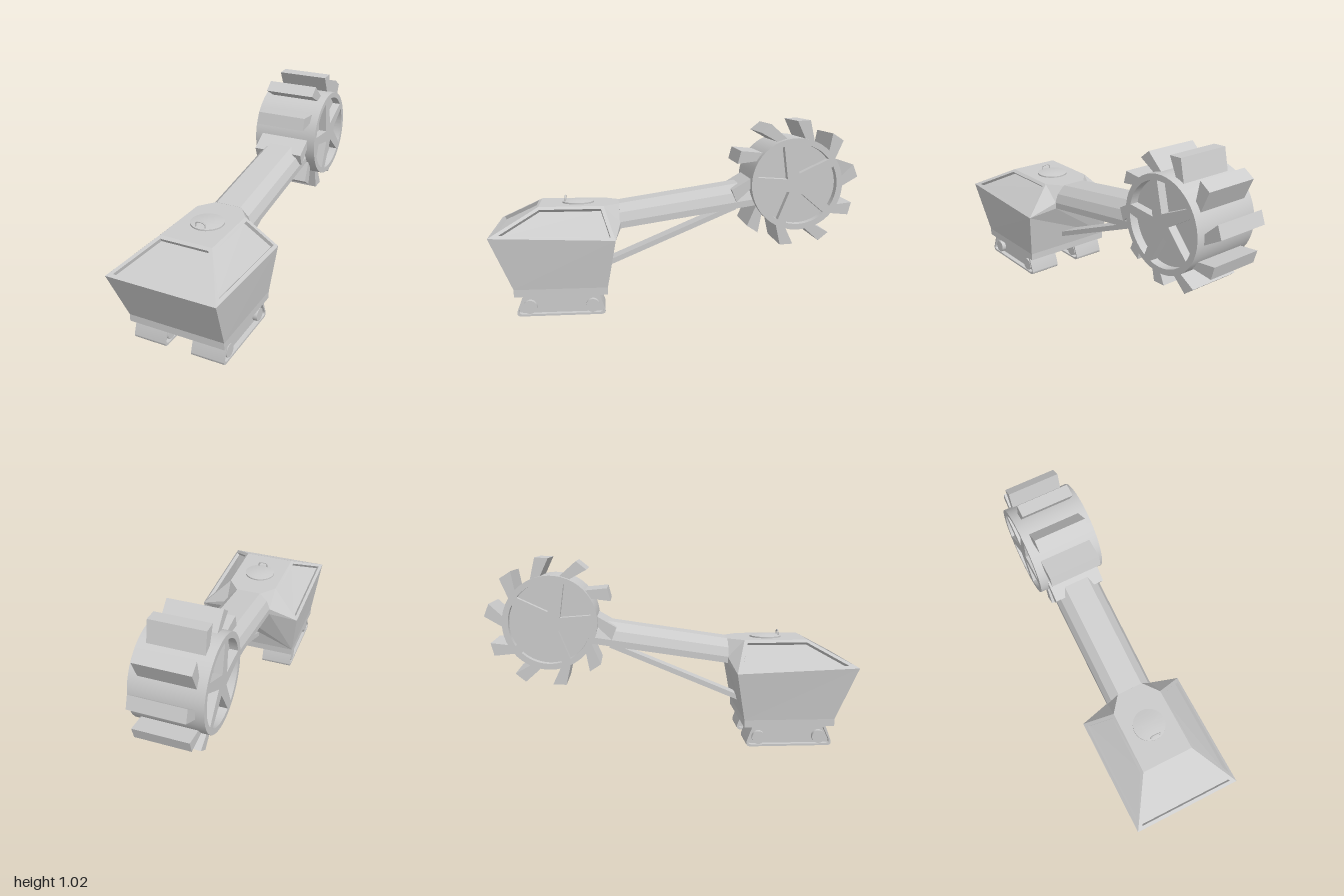
import * as THREE from 'three';
import { toCreasedNormals } from 'three/addons/utils/BufferGeometryUtils.js';

const V = (x, y, z) => new THREE.Vector3(x, y, z);
const grey = new THREE.MeshStandardMaterial({ color: 0xcccccc });
const flat = new THREE.MeshStandardMaterial({ color: 0xcccccc, flatShading: true, side: THREE.DoubleSide });
const HULL_CENTRE = V(0, 0.32, 0.6);

function add(parent, name, geometry, material = grey) {
  const mesh = new THREE.Mesh(geometry, material);
  mesh.name = name;
  parent.add(mesh);
  return mesh;
}

function extrude(shape, depth, curveSegments = 12) {
  const g = new THREE.ExtrudeGeometry(shape, { depth, bevelEnabled: false, curveSegments });
  g.translate(0, 0, -depth / 2);
  return toCreasedNormals(g, 0.5);
}

const polygon = (pts) => new THREE.Shape(pts.map(([x, y]) => new THREE.Vector2(x, y)));

function faceNormal(p) {
  const n = V(0, 0, 0);
  for (let i = 1; i < p.length - 1; i++) {
    n.add(p[i].clone().sub(p[0]).cross(p[i + 1].clone().sub(p[0])));
  }
  return n.normalize();
}

// Orders a face's corners so that it looks away from the hull's centre
function outward(p) {
  const mid = p.reduce((s, q) => s.add(q), V(0, 0, 0)).divideScalar(p.length);
  return faceNormal(p).dot(mid.sub(HULL_CENTRE)) < 0 ? p.slice().reverse() : p;
}

// Frame, sloped reveal and sunken pane for one sloped face
function recessed(face, width, depth) {
  const p = outward(face), n = faceNormal(p), k = p.length;
  const inner = p.map((c, i) => {
    const a = p[(i + 1) % k].clone().sub(c).normalize();
    const b = p[(i + k - 1) % k].clone().sub(c).normalize();
    return c.clone().addScaledVector(a.clone().add(b), width / Math.sin(a.angleTo(b)));
  });
  const floor = inner.map((c) => c.clone().addScaledVector(n, -depth));
  const faces = [floor];
  for (let i = 0; i < k; i++) {
    const j = (i + 1) % k;
    faces.push([p[i], p[j], inner[j], inner[i]], [inner[i], inner[j], floor[j], floor[i]]);
  }
  return faces;
}

function fromFaces(faces) {
  const pos = [];
  for (const f of faces) {
    for (let i = 1; i < f.length - 1; i++) for (const q of [f[0], f[i], f[i + 1]]) pos.push(q.x, q.y, q.z);
  }
  const g = new THREE.BufferGeometry();
  g.setAttribute('position', new THREE.Float32BufferAttribute(pos, 3));
  g.computeVertexNormals();
  return g;
}

function buildHull(model) {
  const hull = new THREE.Group();
  hull.name = 'hull';
  model.add(hull);
  const m = (p) => V(-p.x, p.y, p.z);
  const both = (...pts) => [...pts, ...pts.map(m).reverse()];
  const b0 = V(0.27, 0.11, 0.88), b1 = V(0.27, 0.11, 0.385);
  const s0 = V(0.27, 0.15, 0.88), s1 = V(0.27, 0.15, 0.385);
  const w0 = V(0.3, 0.435, 1), w1 = V(0.3, 0.41, 0.34);
  const r0 = V(0.145, 0.57, 0.75), r1 = V(0.142, 0.57, 0.4), r2 = V(0.07, 0.57, 0.31);
  const c1 = V(0.135, 0.475, 0.31), c2 = V(0.135, 0.44, 0.31);
  // Faces crossing the centre line
  const faces = [
    both(b0, b1), both(b0, s0), both(b1, s1), both(s0, w0),
    both(s1, w1, c2), both(c2, c1, r2), both(r0, r1, r2),
  ].map(outward);
  // Mirrored side faces
  const sides = [[b0, b1, s1, s0], [s0, s1, w1, w0], [r1, r2, c1], [r1, c1, w1], [c1, c2, w1]];
  for (const f of sides) faces.push(outward(f), outward(f.map(m)));
  // Three sunken panels
  const side = [w0, w1, r1, r0];
  for (const f of [both(w0, r0), side, side.map(m)]) faces.push(...recessed(f, 0.02, 0.02));
  add(hull, 'hullShell', fromFaces(faces), flat);

  // Hatch with a small grab handle
  const hatch = add(hull, 'hatch', toCreasedNormals(new THREE.LatheGeometry(
    [[0.088, 0], [0.088, 0.009], [0.05, 0.015], [0, 0.018]].map(([x, y]) => new THREE.Vector2(x, y)), 32), 0.5));
  hatch.position.set(0, 0.569, 0.54);
  const loop = new THREE.CatmullRomCurve3([
    V(-0.027, 0.575, 0.61), V(-0.025, 0.598, 0.61), V(-0.015, 0.605, 0.61),
    V(0.015, 0.605, 0.61), V(0.025, 0.598, 0.61), V(0.027, 0.575, 0.61)]);
  add(hull, 'hatchHandle', new THREE.TubeGeometry(loop, 24, 0.004, 8));
}

// Crawler track drawn in side profile, then turned to lie along z
function buildTrack(model, x) {
  const track = new THREE.Group();
  track.name = x > 0 ? 'leftTrack' : 'rightTrack';
  track.position.set(x, 0, 0.633);
  track.rotation.y = Math.PI / 2;
  const outline = (Shape, t) => {
    const s = new Shape(), h = 0.235 - t, top = 0.115 - t;
    s.moveTo(-h + 0.025, t);
    s.lineTo(h - 0.025, t);
    s.quadraticCurveTo(h + 0.006, t, h - 0.003, 0.03 + t * 0.5);
    s.lineTo(0.2 - t, top);
    s.lineTo(-0.2 + t, top);
    s.lineTo(-h + 0.003, 0.03 + t * 0.5);
    s.quadraticCurveTo(-h - 0.006, t, -h + 0.025, t);
    return s;
  };
  const belt = outline(THREE.Shape, 0);
  belt.holes.push(outline(THREE.Path, 0.011));
  add(track, 'trackBelt', extrude(belt, 0.185));
  add(track, 'trackCore', extrude(outline(THREE.Shape, 0.008), 0.13));
  for (const z of [-0.166, 0.166]) {
    const roller = add(track, 'roller', new THREE.CylinderGeometry(0.036, 0.036, 0.18, 24));
    roller.rotation.x = Math.PI / 2;
    roller.position.set(z, 0.048, 0);
  }
  model.add(track);
}

function buildBoom(model) {
  // Chamfered prism, sheared upward toward the wheel
  const half = [[0.135, 0], [0.135, 0.035], [0.115, 0.085], [0.07, 0.13]];
  const section = polygon([...half, ...half.map(([x, y]) => [-x, y]).reverse()]);
  const g = new THREE.ExtrudeGeometry(section, { depth: 0.75, bevelEnabled: false });
  g.translate(0, 0.44, -0.435);
  const p = g.attributes.position;
  for (let i = 0; i < p.count; i++) p.setY(i, p.getY(i) + (0.32 - p.getZ(i)) * 0.154);
  g.computeVertexNormals();
  add(model, 'boom', g, flat);

  // Support strut below the boom
  const a = V(0, 0.215, 0.41), b = V(0, 0.535, -0.34);
  const strut = add(model, 'strut', new THREE.BoxGeometry(0.11, 0.028, a.distanceTo(b)));
  strut.position.copy(a).lerp(b, 0.5);
  strut.lookAt(b);
}

function buildWheel(model) {
  const wheel = new THREE.Group();
  wheel.name = 'bucketWheel';
  wheel.position.set(0, 0.678, -0.655);
  wheel.rotation.y = Math.PI / 2;
  model.add(wheel);

  // Drum with five spoke openings
  const drum = new THREE.Shape().absarc(0, 0, 0.252, 0, Math.PI * 2);
  const R = 0.22, r = 0.06, h = 0.024;
  for (let i = 0; i < 5; i++) {
    const mid = THREE.MathUtils.degToRad(68 + 72 * i);
    const outer = Math.PI / 5 - Math.asin(h / R), inner = Math.PI / 5 - Math.asin(h / r);
    const hole = new THREE.Path();
    hole.moveTo(r * Math.cos(mid - inner), r * Math.sin(mid - inner));
    hole.absarc(0, 0, R, mid - outer, mid + outer, false);
    hole.lineTo(r * Math.cos(mid + inner), r * Math.sin(mid + inner));
    hole.closePath();
    drum.holes.push(hole);
  }
  add(wheel, 'drum', extrude(drum, 0.382, 24));
  const core = add(wheel, 'drumCore', new THREE.CylinderGeometry(0.235, 0.235, 0.29, 48));
  core.rotation.x = Math.PI / 2;

  // Ten slanted digging buckets
  const bucket = extrude(polygon([[0.22, -0.028], [0.25, -0.028], [0.353, 0.033], [0.327, 0.1], [0.25, 0.028], [0.22, 0.028]]), 0.292);
  for (let i = 0; i < 10; i++) {
    add(wheel, 'bucket', bucket).rotation.z = THREE.MathUtils.degToRad(72 + 36 * i);
  }
}

export function createModel() {
  const model = new THREE.Group();
  model.name = 'bucketWheelExcavator';
  buildHull(model);
  for (const x of [-0.167, 0.167]) buildTrack(model, x);
  buildBoom(model);
  buildWheel(model);
  return model;
}
